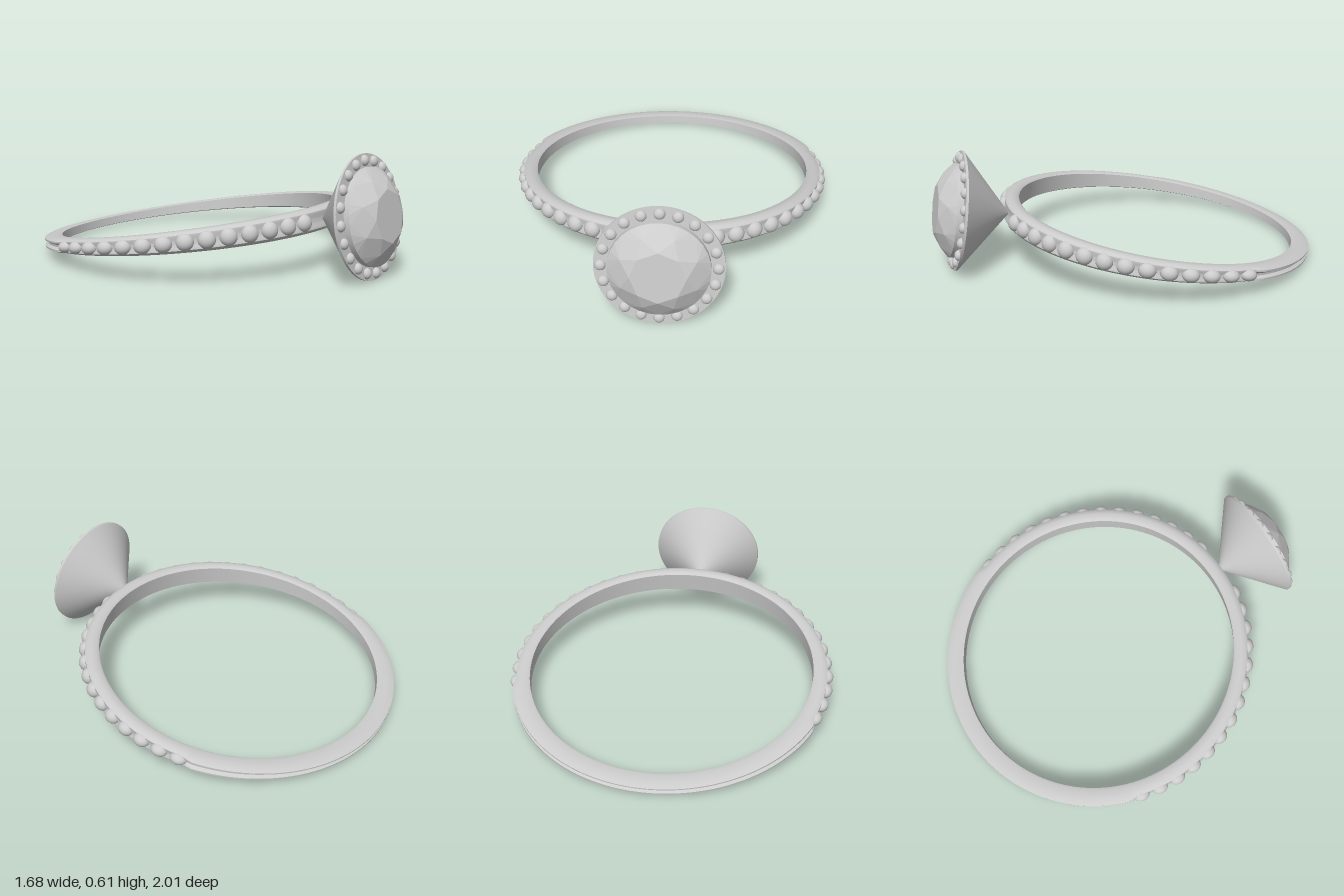
import * as THREE from 'three';
import { toCreasedNormals } from 'three/addons/utils/BufferGeometryUtils.js';

const grey = () => new THREE.MeshStandardMaterial({ color: 0xcccccc });
const { lerp, degToRad } = THREE.MathUtils;

function addMesh(parent, name, geometry, material = grey()) {
  const mesh = new THREE.Mesh(geometry, material);
  mesh.name = name;
  parent.add(mesh);
  return mesh;
}

// Half of the band's height: tall at the front, slim at the back
const halfHeight = (angle) => 0.0425 + 0.0175 * Math.cos(angle);

// Band: a profile swept round, flat inside, with a channel along the outside
function bandGeometry() {
  // [radius beside the stones, radius at the back, share of half height]
  const half = [
    [0.738, 0.738, 0.86], [0.75, 0.75, 1], [0.78, 0.79, 1], [0.8, 0.815, 0.9],
    [0.811, 0.83, 0.7], [0.811, 0.83, 0.45], [0.804, 0.814, 0.15],
  ];
  const profile = [
    ...half.map(([a, b, h]) => [a, b, -h]),
    ...half.slice().reverse(),
  ];
  const segments = 200, n = profile.length;
  const positions = [], index = [];
  for (let i = 0; i < segments; i++) {
    const angle = (i / segments) * Math.PI * 2;
    const fromFront = Math.min(angle, Math.PI * 2 - angle);
    const blend = THREE.MathUtils.smoothstep(fromFront, degToRad(107), degToRad(112));
    for (const [a, b, h] of profile) {
      const r = lerp(a, b, blend);
      positions.push(r * Math.sin(angle), h * halfHeight(angle), r * Math.cos(angle));
    }
    for (let j = 0; j < n; j++) {
      const p = i * n + j, q = i * n + (j + 1) % n;
      const p2 = ((i + 1) % segments) * n + j, q2 = ((i + 1) % segments) * n + (j + 1) % n;
      index.push(p, p2, q, p2, q2, q);
    }
  }
  const geometry = new THREE.BufferGeometry();
  geometry.setAttribute('position', new THREE.Float32BufferAttribute(positions, 3));
  geometry.setIndex(index);
  return toCreasedNormals(geometry, 0.7);
}

// Crown of a brilliant cut: table, star, kite and girdle facets, facing +z
function crownGeometry() {
  const at = (r, step, z) => {
    const a = (step * Math.PI) / 16;
    return [r * Math.sin(a), r * Math.cos(a), z];
  };
  const table = (k) => at(0.13, k, 0.115);
  const star = (k) => at(0.19, k, 0.082);
  const girdle = (k) => at(0.24, k, 0.036);
  const positions = [];
  const face = (a, b, c) => positions.push(...a, ...c, ...b);
  for (let i = 0; i < 8; i++) {
    const k = i * 4;
    face([0, 0, 0.115], table(k), table(k + 4));
    face(table(k), star(k + 2), table(k + 4));
    face(table(k), star(k - 2), girdle(k));
    face(table(k), girdle(k), star(k + 2));
    for (const s of [0, 1]) {
      face(star(k + 2), girdle(k + 2 * s), girdle(k + 2 * s + 1));
      face(star(k + 2), girdle(k + 2 * s + 1), girdle(k + 2 * s + 2));
    }
  }
  const geometry = new THREE.BufferGeometry();
  geometry.setAttribute('position', new THREE.Float32BufferAttribute(positions, 3));
  geometry.computeVertexNormals();
  return geometry;
}

export function createModel() {
  const model = new THREE.Group();
  model.name = 'ring';

  // The whole ring leans back so the setting is raised
  const ring = new THREE.Group();
  ring.name = 'tiltedRing';
  ring.rotation.x = -degToRad(8.4);
  ring.position.set(0, 0.15, -0.175);
  model.add(ring);

  addMesh(ring, 'band', bandGeometry());

  // Rows of small stones along both shoulders
  const bead = new THREE.SphereGeometry(1, 20, 14);
  for (const side of [1, -1]) {
    const row = new THREE.Group();
    row.name = side > 0 ? 'leftShoulderStones' : 'rightShoulderStones';
    ring.add(row);
    for (let i = 0; i < 14; i++) {
      const angle = degToRad(11.2 + i * 7.33);
      const size = 0.78 * halfHeight(angle);
      const stone = addMesh(row, 'shoulderStone', bead);
      stone.position.set(side * 0.805 * Math.sin(angle), 0, 0.805 * Math.cos(angle));
      stone.rotation.y = side * angle;
      stone.scale.set(0.043, Math.min(0.043, size), 0.037);
    }
  }

  // Setting: cone, rim and flat halo, facing forward
  const setting = new THREE.Group();
  setting.name = 'setting';
  setting.position.z = 1.06;
  ring.add(setting);

  const points = [[0, -0.262], [0.305, -0.006], [0.305, 0.006], [0.235, 0.008]]
    .map(([r, y]) => new THREE.Vector2(r, y));
  const cone = toCreasedNormals(new THREE.LatheGeometry(points, 64), 0.5);
  cone.rotateX(Math.PI / 2);
  const coneMaterial = grey();
  coneMaterial.side = THREE.DoubleSide;
  addMesh(setting, 'settingCone', cone, coneMaterial);

  // Halo of small stones
  const halo = new THREE.Group();
  halo.name = 'haloStones';
  setting.add(halo);
  for (let i = 0; i < 20; i++) {
    const a = (i / 20) * Math.PI * 2;
    const stone = addMesh(halo, 'haloStone', bead);
    stone.position.set(0.272 * Math.sin(a), 0.272 * Math.cos(a), 0.007);
    stone.scale.set(0.027, 0.027, 0.022);
  }

  // Centre stone
  const girdle = new THREE.CylinderGeometry(0.24, 0.24, 0.034, 32, 1, true);
  girdle.rotateX(Math.PI / 2);
  addMesh(setting, 'centreStoneGirdle', girdle).position.z = 0.019;
  const stoneMaterial = grey();
  stoneMaterial.flatShading = true;
  addMesh(setting, 'centreStoneCrown', crownGeometry(), stoneMaterial);

  return model;
}
